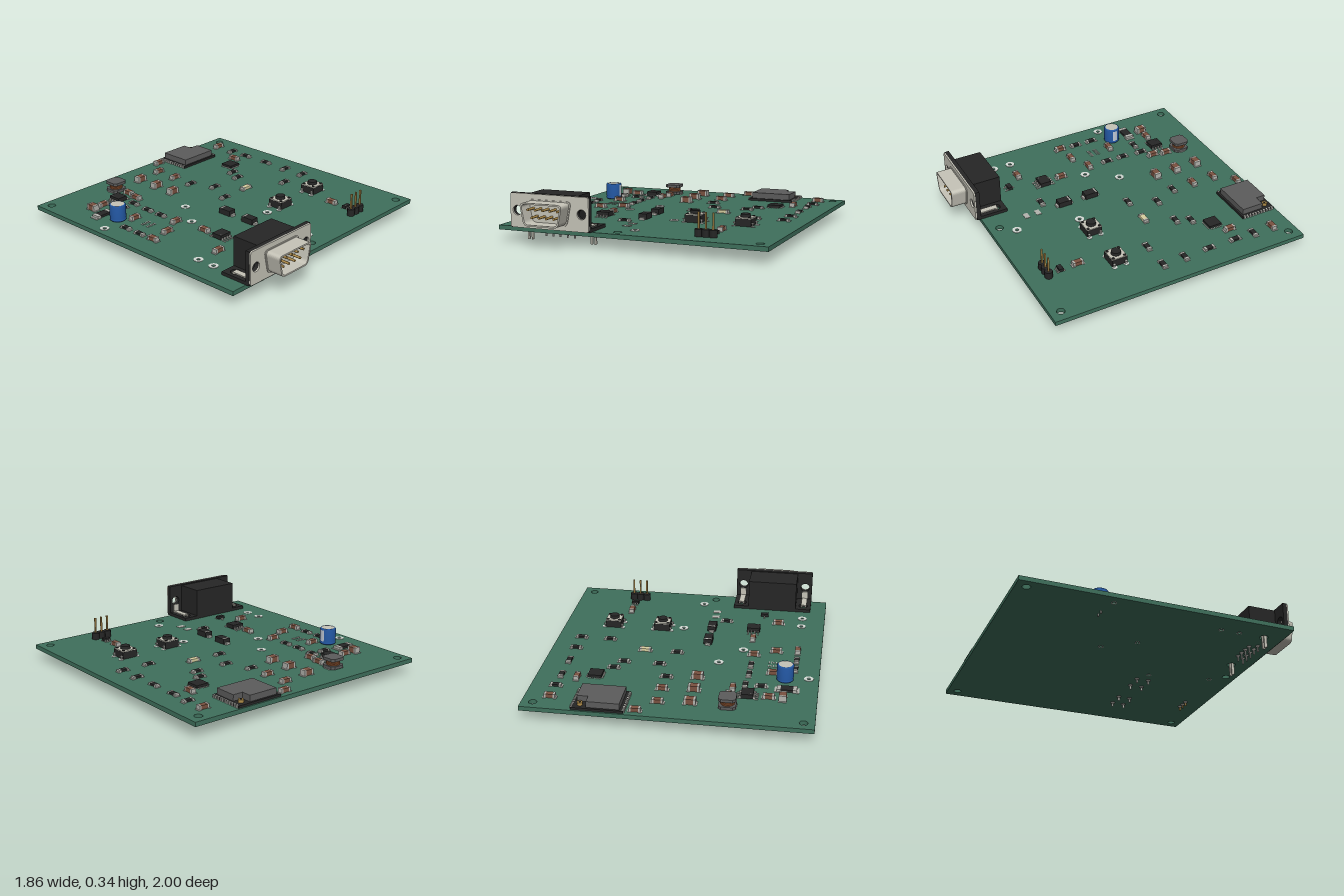
import * as THREE from 'three';

const TOP = 0.107, BOTTOM = 0.077;
const materials = {};
const mat = (color) => (materials[color] ??= new THREE.MeshStandardMaterial({ color }));
const GREEN = 0x3f705c, BLACK = 0x262626, METAL = 0xc6c4b8, TIN = 0xb4b4ae, GOLD = 0xb08d4a,
  BROWN = 0x7a5140, BLUE = 0x2459a6, GREY = 0x5c5c5c, SILK = 0xd5dbd6;

function add(parent, name, geometry, color, x = 0, y = 0, z = 0) {
  const mesh = new THREE.Mesh(geometry, mat(color));
  mesh.name = name;
  mesh.position.set(x, y, z);
  parent.add(mesh);
  return mesh;
}
// box standing on y
const box = (parent, name, color, w, h, d, x, y, z) =>
  add(parent, name, new THREE.BoxGeometry(w, h, d), color, x, y + h / 2, z);
// upright cylinder standing on y
const rod = (parent, name, color, r, h, x, y, z, sides = 24, rTop = r) =>
  add(parent, name, new THREE.CylinderGeometry(rTop, r, h, sides), color, x, y + h / 2, z);

function part(parent, name, x = 0, z = 0, turned = false) {
  const g = new THREE.Group();
  g.name = name;
  g.position.set(x, 0, z);
  if (turned) g.rotation.y = Math.PI / 2;
  parent.add(g);
  return g;
}
function rectShape(x0, y0, x1, y1) {
  return new THREE.Shape([[x0, y0], [x1, y0], [x1, y1], [x0, y1]].map((p) => new THREE.Vector2(...p)));
}
function cutHole(shape, x, y, r) {
  shape.holes.push(new THREE.Path().absarc(x, y, r, 0, Math.PI * 2, true));
}
const extrude = (shape, depth) =>
  new THREE.ExtrudeGeometry(shape, { depth, bevelEnabled: false, curveSegments: 10 });
const flat = (shape, depth) => extrude(shape, depth).rotateX(-Math.PI / 2);

// two-ended chip part: pads, metal caps and a body, lying along x
function chip(parent, name, color, x, z, turned, l = 0.074, w = 0.036, h = 0.026) {
  const g = part(parent, name, x, z, turned);
  box(g, 'body', color, l * 0.62, h, w, 0, TOP + 0.003, 0);
  for (const s of [-1, 1]) {
    box(g, 'pad', TIN, l * 0.32, 0.004, w * 1.1, s * l * 0.46, TOP, 0);
    box(g, 'endCap', TIN, l * 0.19, h + 0.001, w * 1.02, s * l * 0.405, TOP + 0.003, 0);
  }
}

// leaded package with rows of leads along its two x sides
function leadedChip(parent, name, x, z, turned, w, d, h, span, left, right, pitch) {
  const g = part(parent, name, x, z, turned);
  box(g, 'body', BLACK, w, h, d, 0, TOP + 0.006, 0);
  [[-1, left], [1, right]].forEach(([s, n]) => {
    for (let i = 0; i < n; i++) {
      const pz = (n === 1 ? 0 : i - (n - 1) / 2) * pitch, foot = (span - w) / 2;
      box(g, 'lead', TIN, foot * 0.7, 0.006, 0.009, s * (span / 2 - foot * 0.35), TOP, pz);
      box(g, 'leadShoulder', TIN, foot * 0.5, h * 0.5, 0.009, s * (w / 2 + foot * 0.2), TOP + 0.003, pz);
    }
  });
  rod(g, 'pinMark', GREY, 0.005, 0.001, -w * 0.3, TOP + 0.006 + h, -d * 0.33, 12);
}

const testPoints = [[-0.86, -0.37], [-0.245, -0.225], [-0.39, -0.02], [0.07, 0.257],
  [-0.765, 0.41], [-0.765, 0.54], [-0.02, 0.685]];

function buildBoard(root) {
  const shape = rectShape(-0.928, -0.853, 0.928, 1);
  [[-0.857, -0.93], [0.852, -0.93], [0.852, 0.78], [-0.098, 0.78]].forEach(([x, z]) => cutHole(shape, x, -z, 0.027));
  testPoints.forEach(([x, z]) => cutHole(shape, x, -z, 0.012));
  [-0.765, -0.30].forEach((x) => cutHole(shape, x, -0.72, 0.03));
  add(root, 'circuitBoard', flat(shape, TOP - BOTTOM), GREEN, 0, BOTTOM, 0);
  testPoints.forEach(([x, z]) => {
    const ring = new THREE.Shape().absarc(0, 0, 0.032, 0, Math.PI * 2);
    cutHole(ring, 0, 0, 0.012);
    add(root, 'testPoint', flat(ring, 0.003), SILK, x, TOP, z);
    const under = new THREE.Shape().absarc(0, 0, 0.018, 0, Math.PI * 2);
    cutHole(under, 0, 0, 0.012);
    add(root, 'testPointUnderside', flat(under, 0.002), TIN, x, BOTTOM - 0.002, z);
  });
}

// trapezoid with rounded corners, wider at the top
function dShape(Type, w, h, slant, r) {
  const c = [[-w / 2 + slant, -h / 2], [w / 2 - slant, -h / 2], [w / 2, h / 2], [-w / 2, h / 2]]
    .map((p) => new THREE.Vector2(...p));
  const s = new Type();
  c.forEach((p, i) => {
    const a = p.clone().lerp(c[(i + 3) % 4], r / p.distanceTo(c[(i + 3) % 4]));
    const b = p.clone().lerp(c[(i + 1) % 4], r / p.distanceTo(c[(i + 1) % 4]));
    i ? s.lineTo(a.x, a.y) : s.moveTo(a.x, a.y);
    s.quadraticCurveTo(p.x, p.y, b.x, b.y);
  });
  s.closePath();
  return s;
}

function buildSerialConnector(root) {
  const g = part(root, 'serialConnector', -0.531, 0);
  const ear = 0.233, midY = 0.22;
  box(g, 'housing', BLACK, 0.35, 0.222, 0.2, 0, TOP, 0.755);
  // black rear flange and metal face plate, both with screw holes
  const flange = rectShape(-0.284, TOP, 0.284, 0.335);
  const plate = dShape(THREE.Shape, 0.566, 0.226, 0, 0.018);
  for (const s of [-1, 1]) {
    cutHole(flange, s * ear, midY, 0.032);
    cutHole(plate, s * ear, 0, 0.032);
  }
  add(g, 'rearFlange', extrude(flange, 0.03), BLACK, 0, 0, 0.85);
  add(g, 'facePlate', extrude(plate, 0.01), METAL, 0, midY + 0.002, 0.88);
  const collar = dShape(THREE.Shape, 0.325, 0.165, 0.033, 0.035);
  add(g, 'shellCollar', extrude(collar, 0.008), METAL, 0, midY - 0.002, 0.888);
  const shell = dShape(THREE.Shape, 0.305, 0.15, 0.03, 0.032);
  shell.holes.push(dShape(THREE.Path, 0.281, 0.13, 0.027, 0.027));
  add(g, 'shell', extrude(shell, 0.11), METAL, 0, midY - 0.002, 0.89);
  // contacts and their solder tails
  [[5, 0.245, 0.743], [4, 0.195, 0.693]].forEach(([n, y, z]) => {
    for (let i = 0; i < n; i++) {
      const x = (i - (n - 1) / 2) * 0.053;
      add(g, 'contact', new THREE.CylinderGeometry(0.008, 0.008, 0.08, 12).rotateX(Math.PI / 2), GOLD, x, y, 0.935);
      rod(g, 'solderTail', TIN, 0.006, 0.075, x, 0.035, z, 8);
      rod(g, 'solderJoint', TIN, 0.008, 0.012, x, BOTTOM - 0.012, z, 12, 0.016);
    }
  });
  // mounting ears with straps and board locks
  for (const s of [-1, 1]) {
    const floor = rectShape(-0.055, -0.85, 0.055, -0.655);
    cutHole(floor, 0, -0.72, 0.032);
    add(g, 'earFloor', flat(floor, 0.022), BLACK, s * 0.229, TOP, 0);
    box(g, 'strap', METAL, 0.04, 0.008, 0.13, s * ear, TOP + 0.022, 0.78);
    box(g, 'strapUpright', METAL, 0.04, 0.06, 0.008, s * ear, TOP + 0.022, 0.846);
    for (const t of [-1, 1]) {
      box(g, 'boardLock', METAL, 0.01, 0.13, 0.02, s * ear + t * 0.014, 0.002, 0.722);
      box(g, 'lockTip', METAL, 0.007, 0.02, 0.012, s * ear + t * 0.012, 0, 0.722);
    }
  }
}

function buildSwitch(root, x) {
  const g = part(root, 'pushSwitch', x, 0.246);
  box(g, 'base', BLACK, 0.112, 0.05, 0.112, 0, TOP + 0.002, 0);
  box(g, 'cover', METAL, 0.11, 0.006, 0.11, 0, TOP + 0.052, 0);
  rod(g, 'button', BLACK, 0.034, 0.022, 0, TOP + 0.057, 0, 28, 0.032);
  for (const sx of [-1, 1]) for (const sz of [-1, 1]) {
    rod(g, 'rivet', BLACK, 0.01, 0.006, sx * 0.042, TOP + 0.056, sz * 0.042, 12);
    box(g, 'leadArm', TIN, 0.02, 0.006, 0.014, sx * 0.062, TOP + 0.02, sz * 0.043);
    box(g, 'lead', TIN, 0.006, 0.085, 0.014, sx * 0.062, 0.045, sz * 0.043);
    rod(g, 'pad', SILK, 0.018, 0.003, sx * 0.064, TOP, sz * 0.043, 16);
    rod(g, 'solderJoint', TIN, 0.009, 0.01, sx * 0.062, BOTTOM - 0.01, sz * 0.043, 12, 0.017);
  }
}

function buildHeader(root) {
  const g = part(root, 'pinHeader', 0.473, 0.705);
  for (let i = -1; i <= 1; i++) {
    add(g, 'spacer', new THREE.CylinderGeometry(0.027, 0.027, 0.048, 8).rotateY(Math.PI / 8), BLACK, i * 0.049, TOP + 0.024, 0);
    box(g, 'pin', GOLD, 0.011, 0.217, 0.011, i * 0.049, 0.045, 0);
    rod(g, 'solderJoint', TIN, 0.008, 0.012, i * 0.049, BOTTOM - 0.012, 0, 12, 0.017);
  }
}

function buildRadioModule(root) {
  const g = part(root, 'radioModule', 0.426, -0.862);
  box(g, 'moduleBoard', BLACK, 0.335, 0.016, 0.255, 0, TOP, 0);
  const can = new THREE.Shape([[-0.143, -0.113], [0.143, -0.113], [0.143, 0.045], [0.07, 0.045], [0.07, 0.113], [-0.143, 0.113]]
    .map((p) => new THREE.Vector2(...p)));
  add(g, 'shieldCan', flat(can, 0.042), GREY, 0, TOP + 0.016, 0);
  rod(g, 'antennaSocket', GOLD, 0.018, 0.02, 0.115, TOP + 0.016, -0.083, 20);
  rod(g, 'antennaCentre', BLACK, 0.008, 0.022, 0.115, TOP + 0.016, -0.083, 12);
  for (const s of [-1, 1]) for (let i = 0; i < 11; i++)
    box(g, 'edgePad', TIN, 0.014, 0.018, 0.012, s * 0.167, TOP, -0.112 + i * 0.0224);
}

function buildInductor(root) {
  const g = part(root, 'inductor', -0.373, -0.8);
  const plate = () => {
    const c = 0.018, r = 0.056;
    return flat(new THREE.Shape([[-r + c, -r], [r - c, -r], [r, -r + c], [r, r - c], [r - c, r], [-r + c, r], [-r, r - c], [-r, -r + c]]
      .map((p) => new THREE.Vector2(...p))), 0.02);
  };
  box(g, 'pads', TIN, 0.118, 0.004, 0.05, 0, TOP, 0);
  add(g, 'lowerFlange', plate(), GREY, 0, TOP + 0.004, 0);
  for (let i = 0; i < 4; i++)
    add(g, 'winding', new THREE.TorusGeometry(0.041, 0.0055, 8, 28).rotateX(Math.PI / 2), 0xa5623a, 0, TOP + 0.028 + i * 0.009, 0);
  rod(g, 'core', 0xa5623a, 0.041, 0.04, 0, TOP + 0.02, 0);
  add(g, 'upperFlange', plate(), GREY, 0, TOP + 0.057, 0);
}

function buildCanCapacitor(root) {
  const g = part(root, 'canCapacitor', -0.706, -0.407);
  const profile = [[0, 0.004], [0.05, 0.004], [0.056, 0.01], [0.056, 0.018], [0.053, 0.022], [0.056, 0.026], [0.056, 0.114], [0.05, 0.12], [0.046, 0.12]];
  add(g, 'sleeve', new THREE.LatheGeometry(profile.map((p) => new THREE.Vector2(...p)), 32), BLUE, 0, TOP, 0);
  rod(g, 'canTop', METAL, 0.047, 0.01, 0, TOP + 0.109, 0, 32);
  add(g, 'polarityStripe', new THREE.CylinderGeometry(0.0568, 0.0568, 0.08, 8, 1, true, Math.PI / 2 - 0.3, 0.6), 0xc2cbd8, 0, TOP + 0.068, 0);
  for (const s of [-1, 1]) rod(g, 'lead', TIN, 0.006, 0.06, s * 0.023, 0.06, 0, 8);
}

export function createModel() {
  const root = new THREE.Group();
  root.name = 'circuitBoardAssembly';
  buildBoard(root);
  buildSerialConnector(root);
  [0.22, 0.574].forEach((x) => buildSwitch(root, x));
  buildHeader(root);
  buildRadioModule(root);
  buildInductor(root);
  buildCanCapacitor(root);

  // ceramic capacitors: across, then turned, then the larger ones
  [[-0.62, -0.66], [0.07, -0.82], [0.07, -0.65], [0.19, -0.945], [0.76, -0.855], [-0.62, -0.335], [-0.47, -0.09],
    [-0.62, -0.02], [-0.6, 0.425]].forEach(([x, z]) => chip(root, 'capacitor', BROWN, x, z, false));
  [[-0.36, -0.68], [-0.38, -0.58], [0.65, -0.585], [-0.765, 0], [-0.44, 0.15], [0.495, 0.485]]
    .forEach(([x, z]) => chip(root, 'capacitor', BROWN, x, z, true));
  [-0.8, -0.63, -0.465].forEach((z) => chip(root, 'largeCapacitor', BROWN, -0.135, z, false, 0.075, 0.048, 0.038));
  chip(root, 'largeCapacitor', BROWN, -0.71, -0.66, true, 0.07, 0.048, 0.038);

  // resistors: across, then turned
  [[-0.56, -0.52], [0.07, -0.485], [0.145, -0.315], [0.39, -0.315], [0.44, -0.41], [0.055, -0.13], [-0.225, 0.41],
    [0.76, -0.705], [0.76, -0.165], [0.76, 0], [0.555, 0]].forEach(([x, z]) => chip(root, 'resistor', BLACK, x, z, false, 0.074, 0.034, 0.013));
  [[-0.455, -0.52], [-0.465, -0.37], [-0.465, -0.24], [-0.765, -0.26], [-0.765, -0.13], [0.76, -0.56], [0.76, -0.355]]
    .forEach(([x, z]) => chip(root, 'resistor', BLACK, x, z, true, 0.074, 0.034, 0.013));
  chip(root, 'senseResistor', BLACK, -0.728, -0.542, false, 0.13, 0.06, 0.016);
  chip(root, 'indicatorLight', 0xd8cfa0, 0.278, -0.13, false, 0.08, 0.036, 0.02);

  // diodes and empty fuse pads
  [0.07, 0.275].forEach((z) => {
    const g = part(root, 'diode', -0.135, z);
    box(g, 'body', BLACK, 0.058, 0.038, 0.095, 0, TOP + 0.003, 0);
    for (const s of [-1, 1]) box(g, 'terminal', TIN, 0.034, 0.015, 0.022, 0, TOP, s * 0.052);
    box(g, 'cathodeBand', TIN, 0.056, 0.001, 0.01, 0, TOP + 0.041, -0.036);
  });
  for (const s of [-1, 1]) box(root, 'fusePad', TIN, 0.054, 0.003, 0.036, -0.135, TOP, 0.52 + s * 0.043);

  // leaded chips
  leadedChip(root, 'regulator', -0.484, -0.653, false, 0.078, 0.09, 0.03, 0.142, 4, 4, 0.0235);
  leadedChip(root, 'transceiver', -0.431, 0.294, true, 0.078, 0.092, 0.03, 0.142, 4, 4, 0.0235);
  leadedChip(root, 'surgeProtector', 0.495, 0.612, true, 0.03, 0.052, 0.02, 0.056, 3, 3, 0.0176);
  leadedChip(root, 'transistor', -0.489, 0.537, true, 0.032, 0.055, 0.02, 0.072, 2, 1, 0.036);

  // flat chip with pads on all four sides
  const quad = part(root, 'quadChip', 0.537, -0.52);
  box(quad, 'body', BLACK, 0.092, 0.018, 0.092, 0, TOP + 0.002, 0);
  for (let i = -3; i <= 3; i++) {
    box(quad, 'pad', TIN, 0.115, 0.003, 0.006, 0, TOP, i * 0.0125);
    box(quad, 'pad', TIN, 0.006, 0.003, 0.115, i * 0.0125, TOP, 0);
  }
  // bare pads of an unfitted chip
  for (const s of [-1, 1]) for (let i = -2; i <= 2; i++)
    box(root, 'barePad', TIN, 0.007, 0.003, 0.024, -0.616 + i * 0.016, TOP, -0.204 + s * 0.025);
  return root;
}
